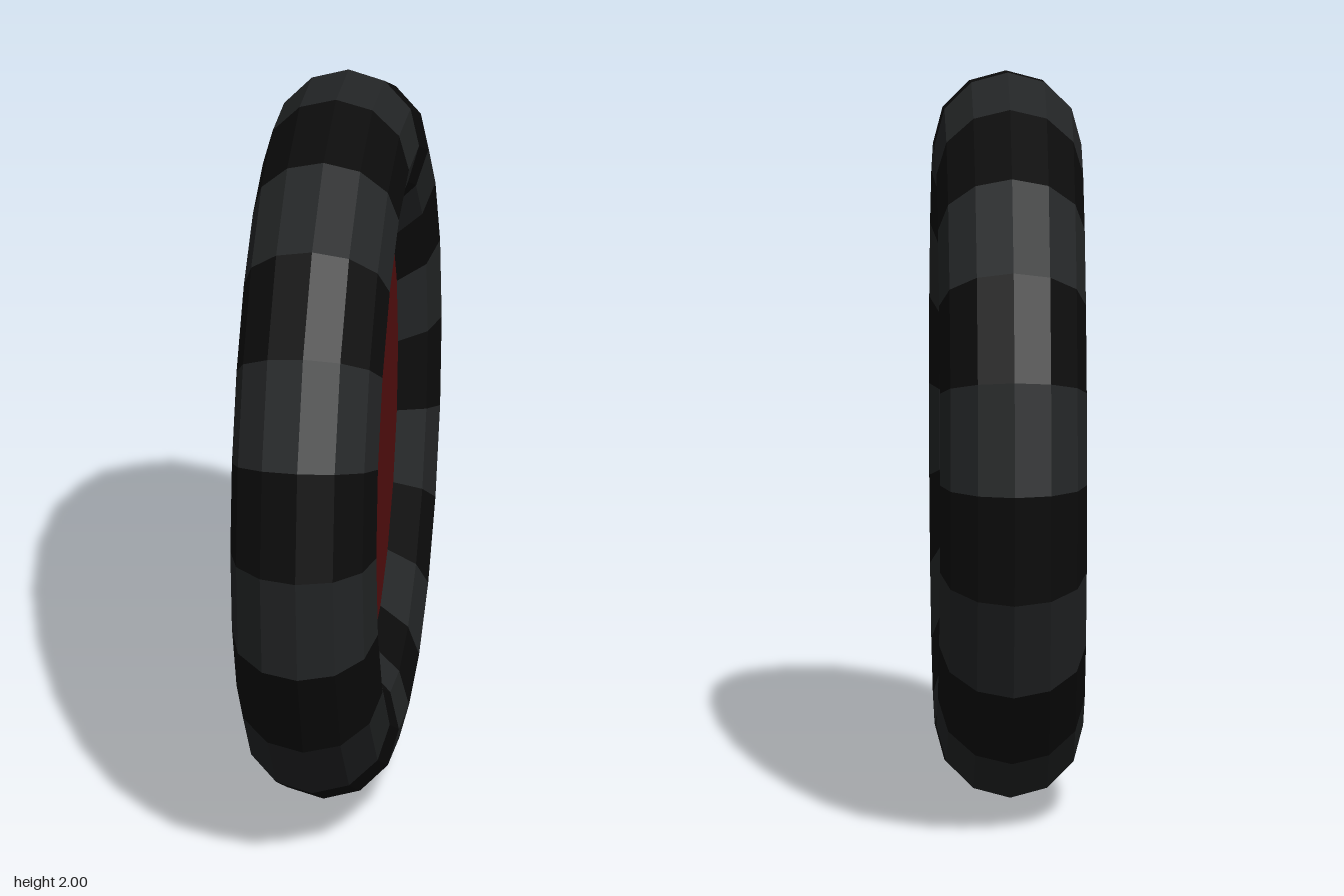
import * as THREE from 'three';

const SIDES = 20;
const RING_RADIUS = 0.8;
const TUBE_RADIUS = 0.2;

export function createModel() {
  const model = new THREE.Group();
  model.name = 'wheel';

  const material = (color) => new THREE.MeshStandardMaterial({ color, flatShading: true });
  const lightRubber = material(0x242627);
  const darkRubber = material(0x0c0c0c);

  // Tyre: a low-poly ring of bands in two alternating shades
  const tyre = new THREE.Group();
  tyre.name = 'tyre';
  const step = (Math.PI * 2) / SIDES;
  for (let i = 0; i < SIDES; i++) {
    const band = new THREE.TorusGeometry(RING_RADIUS, TUBE_RADIUS, 12, 1, step);
    band.rotateZ(i * step).rotateY(Math.PI / 2);
    const mesh = new THREE.Mesh(band, i % 2 ? darkRubber : lightRubber);
    mesh.name = i % 2 ? 'darkTyreBand' : 'lightTyreBand';
    tyre.add(mesh);
  }
  model.add(tyre);

  // Hub: flat disc filling the ring, its rim sunk into the tyre
  const hub = new THREE.Mesh(
    new THREE.CylinderGeometry(0.66, 0.66, 0.2, SIDES).rotateZ(Math.PI / 2),
    material(0x5a1010)
  );
  hub.name = 'hub';
  model.add(hub);

  // Stand the wheel on the ground, turned very slightly
  model.position.y = 1;
  model.rotation.y = 0.009;
  return model;
}
